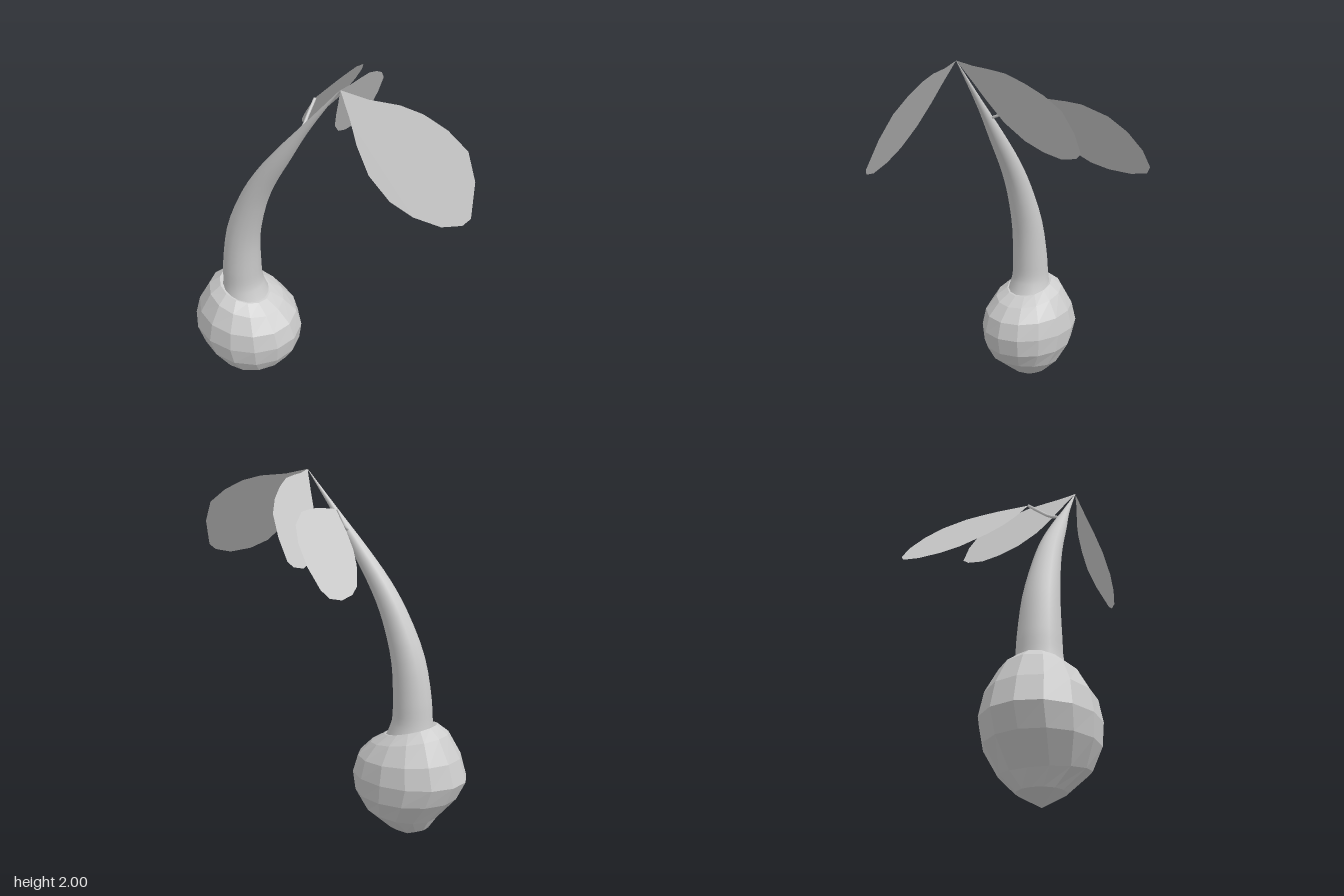
import * as THREE from 'three';

const Z = 0.285; // depth of the plant's main plane

const grey = (options = {}) => new THREE.MeshStandardMaterial({ color: 0xcccccc, ...options });

function addMesh(group, name, geometry, material) {
  const mesh = new THREE.Mesh(geometry, material);
  mesh.name = name;
  group.add(mesh);
}

// Skin between closed rings of points, listed from bottom to top
function loft(rings) {
  const n = rings[0].length;
  const index = [];
  for (let j = 0; j < rings.length - 1; j++) {
    for (let i = 0; i < n; i++) {
      const a = j * n + i, b = j * n + (i + 1) % n;
      index.push(a, a + n, b, b, a + n, b + n);
    }
  }
  const geometry = new THREE.BufferGeometry().setFromPoints(rings.flat());
  geometry.setIndex(index);
  geometry.computeVertexNormals();
  return geometry;
}

const ring = (sides, point) =>
  Array.from({ length: sides }, (_, i) => {
    const a = (i / sides) * Math.PI * 2;
    return point(Math.cos(a), Math.sin(a));
  });

// Flat leaf: a 2D outline lifted onto a sloping plane by a rule
function leaf(outline, lift) {
  const shape = new THREE.Shape(outline.map(([u, v]) => new THREE.Vector2(u, v)));
  const geometry = new THREE.ShapeGeometry(shape);
  const pos = geometry.attributes.position;
  for (let i = 0; i < pos.count; i++) pos.setXYZ(i, ...lift(pos.getX(i), pos.getY(i)));
  geometry.computeVertexNormals();
  return geometry;
}

export function createModel() {
  const group = new THREE.Group();
  group.name = 'sproutingBulb';
  const leafMaterial = grey({ side: THREE.DoubleSide });

  // Faceted bulb: y, centre x, x radius, z radius, tilt (left side higher)
  const bulbRings = [
    [0, -0.48, 0, 0, 0],
    [0.06, -0.485, 0.115, 0.11, 0],
    [0.155, -0.435, 0.21, 0.205, -0.025],
    [0.26, -0.465, 0.287, 0.258, 0],
    [0.365, -0.48, 0.32, 0.27, 0],
    [0.475, -0.475, 0.287, 0.25, 0.015],
    [0.575, -0.475, 0.215, 0.19, 0.04],
    [0.622, -0.48, 0.145, 0.13, 0.04],
    [0.61, -0.48, 0, 0, 0],
  ].map(([y, cx, rx, rz, tilt]) =>
    ring(14, (c, s) => new THREE.Vector3(cx + rx * c, y - tilt * c, Z + rz * s)));
  addMesh(group, 'bulb', loft(bulbRings), grey({ flatShading: true }));

  // Curved tapering stem; the third coordinate of the curve is the radius
  const spine = new THREE.CatmullRomCurve3([
    [-0.48, 0.53, 0.155], [-0.485, 0.6, 0.128], [-0.489, 0.67, 0.111],
    [-0.485, 0.78, 0.105], [-0.455, 1.0, 0.091], [-0.375, 1.23, 0.072],
    [-0.295, 1.385, 0.059], [-0.17, 1.57, 0.042], [-0.045, 1.745, 0.021],
    [0.15, 2.0, 0.001],
  ].map((p) => new THREE.Vector3(...p)));
  const stemRings = [];
  for (let k = 0; k <= 27; k++) {
    const p = spine.getPoint(k / 27);
    const t = spine.getTangent(k / 27).setZ(0).normalize();
    stemRings.push(ring(16, (c, s) =>
      new THREE.Vector3(p.x + t.y * p.z * c, p.y - t.x * p.z * c, Z + p.z * s)));
  }
  addMesh(group, 'stem', loft(stemRings), grey());

  // Side leaf at the stem tip, outline in x and y
  addMesh(group, 'sideLeaf', leaf([
    [0.15, 2], [0.27, 1.975], [0.4, 1.965], [0.5, 1.94], [0.61, 1.89], [0.71, 1.82],
    [0.77, 1.71], [0.795, 1.57], [0.77, 1.54], [0.69, 1.525], [0.57, 1.55],
    [0.46, 1.6], [0.35, 1.69], [0.27, 1.8], [0.22, 1.89],
  ], (x, y) => [x, y, Z - 0.366 * (x - 0.15) - 0.546 * (y - 2)]), leafMaterial);

  // Back leaf at the stem tip, outline in z and y
  addMesh(group, 'backLeaf', leaf([
    [0.285, 2], [0.19, 1.98], [0.1, 1.97], [0, 1.955], [-0.1, 1.915], [-0.2, 1.86],
    [-0.28, 1.79], [-0.32, 1.68], [-0.328, 1.57], [-0.29, 1.54], [-0.2, 1.525],
    [-0.1, 1.55], [0, 1.6], [0.1, 1.69], [0.17, 1.8], [0.22, 1.89],
  ], (z, y) => [0.15 + 0.47 * (y - 2), y, z]), leafMaterial);

  // Lower leaf on its stalk, outline in x and z
  addMesh(group, 'lowerLeaf', leaf([
    [-0.11, 0.09], [-0.105, 0], [-0.1, -0.1], [-0.102, -0.2], [-0.108, -0.29],
    [-0.145, -0.42], [-0.2, -0.5], [-0.27, -0.55], [-0.34, -0.56], [-0.37, -0.53],
    [-0.385, -0.43], [-0.38, -0.3], [-0.36, -0.2], [-0.3, -0.07], [-0.25, 0], [-0.19, 0.05],
  ], (x, z) => [x, 1.805 + 1.375 * (x + 0.107), z]), leafMaterial);

  // Thin stalk from the stem to the lower leaf
  const stalkPath = new THREE.CatmullRomCurve3([
    new THREE.Vector3(-0.1, 1.68, 0.28),
    new THREE.Vector3(-0.103, 1.705, 0.21),
    new THREE.Vector3(-0.108, 1.75, 0.15),
    new THREE.Vector3(-0.11, 1.8, 0.09),
  ]);
  addMesh(group, 'leafStalk', new THREE.TubeGeometry(stalkPath, 8, 0.008, 6), grey());

  return group;
}
